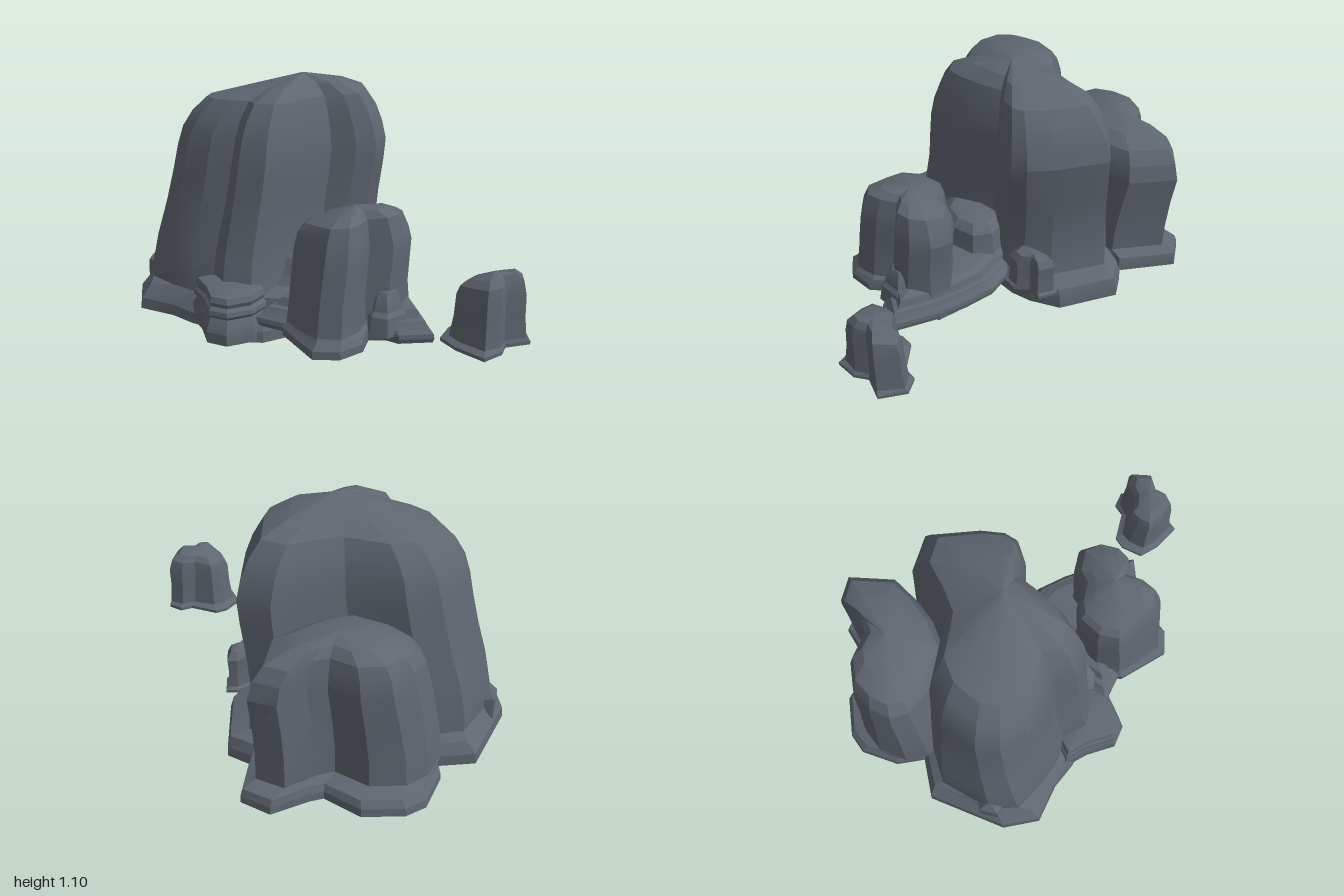
import * as THREE from 'three';
import { toCreasedNormals } from 'three/addons/utils/BufferGeometryUtils.js';

// Lofts a rock from a foot outline towards an optional crown outline, both [x, z] points.
// Each level is [y, blend from foot to crown, scale about the apex, shift x, shift z, tilt along x].
function rockGeometry({ foot, crown = foot, levels, apex }) {
  const n = foot.length;
  const [ax, , az] = apex;
  const pos = [];
  const index = [];
  for (const [y, blend, scale = 1, dx = 0, dz = 0, tilt = 0] of levels) {
    foot.forEach(([fx, fz], i) => {
      const x = (THREE.MathUtils.lerp(fx, crown[i][0], blend) - ax) * scale;
      const z = (THREE.MathUtils.lerp(fz, crown[i][1], blend) - az) * scale;
      pos.push(ax + x + dx, y + tilt * x, az + z + dz);
    });
  }
  const top = (levels.length - 1) * n;
  const base = pos.length / 3;
  const mean = (axis) => foot.reduce((sum, p) => sum + p[axis], 0) / n;
  pos.push(mean(0), levels[0][0], mean(1), ...apex);
  for (let i = 0; i < n; i++) {
    const j = (i + 1) % n;
    for (let k = 0; k < top; k += n) {
      const a = k + i, b = k + j;
      index.push(a, a + n, b, b, a + n, b + n);
    }
    index.push(base, i, j, top + i, base + 1, top + j);
  }
  const g = new THREE.BufferGeometry();
  g.setAttribute('position', new THREE.Float32BufferAttribute(pos, 3));
  g.setIndex(index);
  return toCreasedNormals(g, 0.3);
}

export function createModel() {
  const group = new THREE.Group();
  const slate = new THREE.MeshStandardMaterial({ color: 0x5f6670 });
  slate.name = 'slate grey';
  const addRock = (name, spec) => {
    const mesh = new THREE.Mesh(rockGeometry(spec), slate);
    mesh.name = name;
    group.add(mesh);
  };

  // Tall two-lobed stack with a wide foot
  addRock('mainStack', {
    foot: [
      [-0.33, -0.53], [-0.22, -0.58], [0.02, -0.42], [0.07, -0.28], [0.08, -0.18], [0.06, -0.06],
      [0.06, 0], [0.12, 0.13], [0.15, 0.3], [0.1, 0.5], [0, 0.6], [-0.15, 0.58],
      [-0.27, 0.62], [-0.4, 0.64], [-0.57, 0.71], [-0.72, 0.62], [-0.79, 0.48], [-0.89, 0.28],
      [-0.8, 0.12], [-0.6, -0.02], [-0.47, -0.12], [-0.42, -0.3],
    ],
    crown: [
      [-0.33, -0.41], [-0.2, -0.49], [0, -0.34], [0.08, -0.25], [0.1, -0.18], [0.06, -0.09],
      [-0.02, -0.01], [0, 0.1], [0.01, 0.26], [-0.01, 0.38], [-0.12, 0.44], [-0.22, 0.4],
      [-0.32, 0.46], [-0.45, 0.49], [-0.57, 0.46], [-0.64, 0.38], [-0.66, 0.29], [-0.67, 0.2],
      [-0.62, 0.06], [-0.49, -0.04], [-0.42, -0.1], [-0.37, -0.24],
    ],
    levels: [
      [0, 0], [0.05, 0.03], [0.1, 0.22], [0.125, 0.58, 1, -0.04, 0.045],
      [0.2, 0.63, 1, -0.045, 0.05], [0.33, 0.72, 0.99, -0.045, 0.045],
      [0.5, 0.85, 0.99, -0.03, 0.025], [0.65, 0.95, 1, -0.01, 0.01], [0.76, 1],
      [0.85, 1, 0.95], [0.93, 1, 0.87, 0, 0, 0.02], [1.0, 1, 0.75, 0, 0, 0.04],
      [1.05, 1, 0.48, 0, 0, 0.1],
    ],
    apex: [-0.17, 1.1, 0.03],
  });

  // Shorter stack behind on the right-hand side
  addRock('backStack', {
    foot: [
      [-1, -0.11], [-0.99, -0.21], [-0.89, -0.36], [-0.72, -0.42], [-0.7, -0.48], [-0.67, -0.65],
      [-0.54, -0.71], [-0.33, -0.52], [-0.36, -0.36], [-0.36, -0.2], [-0.42, 0], [-0.62, 0.08],
      [-0.8, 0.12], [-0.91, 0.05],
    ],
    crown: [
      [-0.87, -0.08], [-0.87, -0.2], [-0.8, -0.31], [-0.67, -0.37], [-0.64, -0.45], [-0.64, -0.59],
      [-0.54, -0.66], [-0.38, -0.5], [-0.37, -0.36], [-0.38, -0.2], [-0.43, -0.05], [-0.6, 0.04],
      [-0.75, 0.06], [-0.83, 0.02],
    ],
    levels: [
      [0.045, 0], [0.08, 0.05], [0.11, 0.25], [0.13, 0.55, 1, 0, 0.05], [0.25, 0.65, 1, 0, 0.045],
      [0.4, 0.85, 1, 0, 0.025], [0.54, 1], [0.62, 1, 0.94], [0.68, 1, 0.82], [0.72, 1, 0.55],
    ],
    apex: [-0.6, 0.75, -0.27],
  });

  // Medium stack on the left-hand side
  addRock('sideStack', {
    foot: [
      [0.14, 0.14], [0.25, 0.08], [0.26, -0.02], [0.38, -0.1], [0.48, -0.07], [0.55, 0.05],
      [0.55, 0.16], [0.48, 0.23], [0.54, 0.32], [0.53, 0.44], [0.45, 0.52], [0.3, 0.49],
      [0.2, 0.47], [0.1, 0.34], [0.09, 0.2],
    ],
    crown: [
      [0.17, 0.14], [0.26, 0.08], [0.28, 0], [0.38, -0.07], [0.47, -0.03], [0.52, 0.05],
      [0.52, 0.13], [0.45, 0.2], [0.49, 0.28], [0.5, 0.37], [0.43, 0.43], [0.31, 0.42],
      [0.2, 0.4], [0.14, 0.32], [0.13, 0.2],
    ],
    levels: [
      [0.065, 0], [0.1, 0], [0.125, 0.3], [0.14, 0.65, 1, 0, 0.02], [0.27, 0.8, 0.98, 0, 0.02],
      [0.38, 0.95, 1, 0, 0.01], [0.46, 1], [0.52, 1, 0.94], [0.575, 1, 0.82, 0, 0, 0.14],
      [0.605, 1, 0.55, 0, 0, 0.18],
    ],
    apex: [0.35, 0.63, 0.19],
  });

  // Small detached stack
  addRock('outlyingStack', {
    foot: [
      [0.69, -0.04], [0.7, -0.1], [0.82, -0.18], [0.83, -0.24], [0.9, -0.27], [1, -0.19],
      [0.95, -0.09], [0.98, -0.03], [0.97, 0.07], [0.83, 0.08], [0.73, 0.06],
    ],
    crown: [
      [0.76, -0.03], [0.76, -0.08], [0.83, -0.14], [0.85, -0.21], [0.91, -0.25], [0.98, -0.17],
      [0.94, -0.09], [0.96, -0.03], [0.94, 0.03], [0.84, 0.04], [0.78, 0.03],
    ],
    levels: [
      [0.1, 0], [0.115, 0], [0.13, 0.6], [0.22, 0.8, 0.97], [0.32, 1],
      [0.37, 1, 0.9, 0, 0, 0.15], [0.4, 1, 0.65, 0, 0, 0.25],
    ],
    apex: [0.88, 0.42, -0.08],
  });

  // Little stack tucked beside the back of the main stack
  addRock('littleStack', {
    foot: [
      [0.05, -0.42], [0.13, -0.37], [0.11, -0.3], [0.15, -0.24], [0.13, -0.17],
      [0.04, -0.17], [0.02, -0.28], [0.02, -0.38],
    ],
    levels: [
      [0.11, 0], [0.125, 0], [0.135, 0, 0.85], [0.22, 0, 0.8], [0.28, 0, 0.85], [0.315, 0, 0.6],
    ],
    apex: [0.09, 0.33, -0.31],
  });

  // Layered shelf linking the main and side stacks
  addRock('shelf', {
    foot: [
      [0.02, -0.14], [0.2, -0.16], [0.35, -0.12], [0.5, -0.06], [0.69, 0.05], [0.6, 0.17],
      [0.53, 0.19], [0.45, 0.3], [0.2, 0.45], [0.05, 0.51], [-0.02, 0.2],
    ],
    levels: [
      [0.07, 0, 0.98], [0.09, 0, 1], [0.11, 0, 0.99], [0.13, 0, 0.92],
      [0.155, 0, 0.87], [0.16, 0, 0.8], [0.195, 0, 0.75], [0.21, 0, 0.6],
    ],
    apex: [0.3, 0.22, 0.08],
  });
  // Thin slab beneath the shelf
  addRock('shelfBase', {
    foot: [[0.05, -0.1], [0.25, -0.1], [0.5, 0], [0.55, 0.12], [0.4, 0.2], [0.05, 0.2]],
    levels: [[0.04, 0, 0.9], [0.055, 0], [0.075, 0]],
    apex: [0.3, 0.08, 0.05],
  });
  // Raised step sloping away between the two stacks
  addRock('shelfStep', {
    foot: [
      [-0.05, -0.08], [0.1, -0.1], [0.19, -0.02], [0.2, 0.12], [0.16, 0.34], [0.02, 0.46], [-0.06, 0.1],
    ],
    crown: [
      [-0.05, -0.05], [0.08, -0.06], [0.15, 0], [0.16, 0.12], [0.11, 0.24], [0, 0.28], [-0.06, 0.1],
    ],
    levels: [
      [0.1, 0], [0.17, 0.1], [0.2, 0.6], [0.24, 0.8], [0.31, 1], [0.325, 1, 0.9], [0.35, 1, 0.7],
    ],
    apex: [0.05, 0.365, 0.08],
  });
  addRock('shelfShard', {
    foot: [[0.44, 0.08], [0.52, 0.06], [0.57, 0.1], [0.56, 0.2], [0.5, 0.23], [0.43, 0.2]],
    levels: [[0.1, 0, 1.2], [0.18, 0, 1.05], [0.2, 0, 0.85], [0.25, 0, 0.7], [0.28, 0, 0.5]],
    apex: [0.49, 0.295, 0.14],
  });

  // Layered ledge at the front foot of the main stack
  addRock('frontLedge', {
    foot: [
      [-0.28, 0.48], [-0.1, 0.36], [0.05, 0.42], [0.08, 0.53], [0.04, 0.65], [-0.05, 0.69],
      [-0.18, 0.63], [-0.31, 0.6],
    ],
    levels: [
      [0.01, 0], [0.06, 0], [0.09, 0, 0.95], [0.12, 0, 0.86], [0.135, 0, 0.92], [0.155, 0, 0.9],
      [0.17, 0, 0.82], [0.19, 0, 0.87], [0.215, 0, 0.82], [0.225, 0, 0.6],
    ],
    apex: [-0.09, 0.235, 0.5],
  });

  // Small spur on the front foot
  addRock('spur', {
    foot: [[-0.76, 0.5], [-0.71, 0.44], [-0.64, 0.48], [-0.64, 0.55], [-0.71, 0.57]],
    levels: [[0.07, 0, 1.1], [0.17, 0], [0.19, 0, 0.7], [0.21, 0, 0.35]],
    apex: [-0.7, 0.245, 0.51],
  });

  return group;
}
